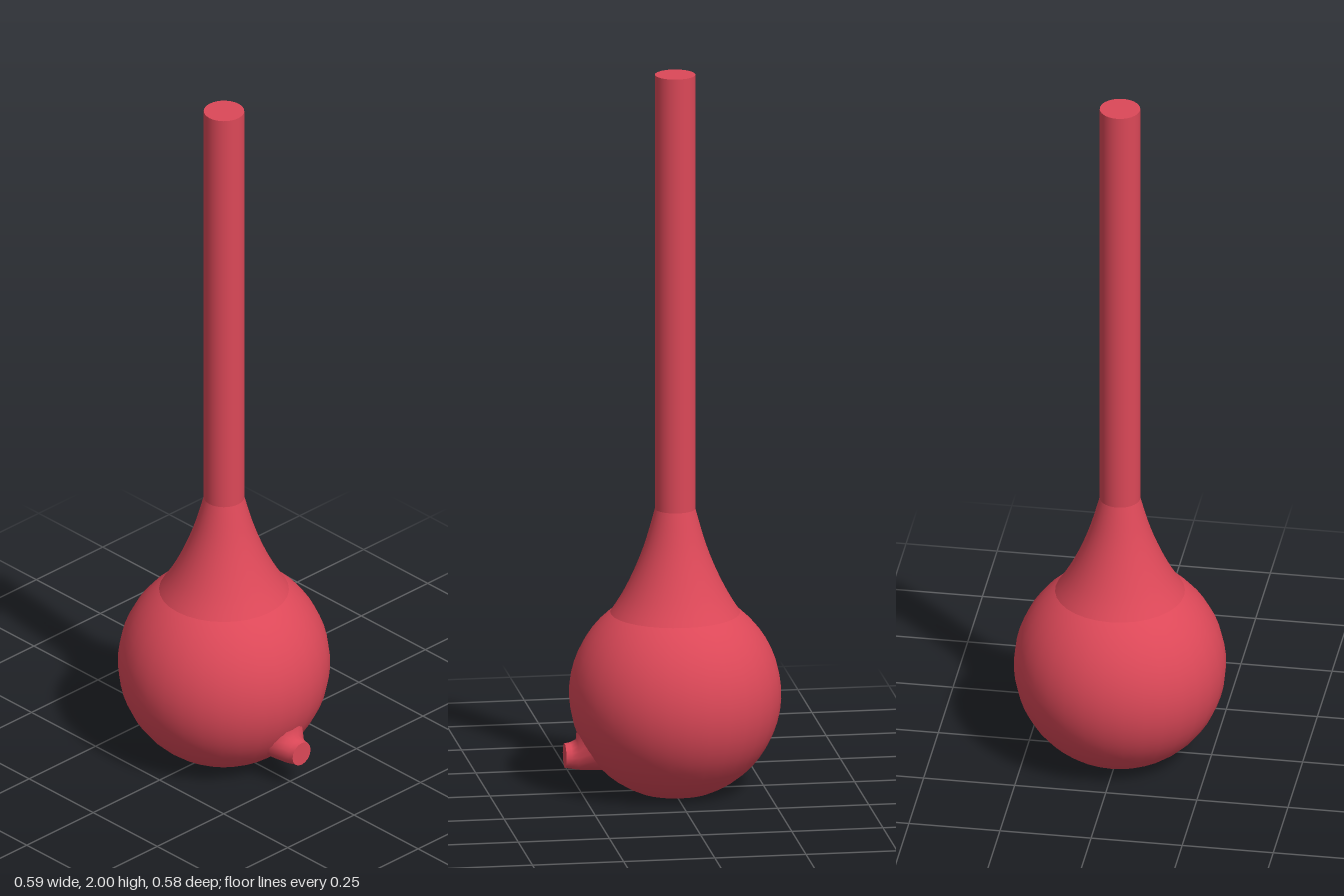
import * as THREE from 'three';

const CX = -0.008;      // axis of the vessel
const R = 0.288;        // bulb radius
const CY = 0.268;       // bulb centre height
const SEG = 32;

const material = new THREE.MeshStandardMaterial({ color: 0xdc4858, side: THREE.DoubleSide });

function addMesh(group, name, geometry, x = CX, y = 0) {
  const mesh = new THREE.Mesh(geometry, material);
  mesh.name = name;
  mesh.position.set(x, y, 0);
  group.add(mesh);
  return mesh;
}

const lathe = (pairs) =>
  new THREE.LatheGeometry(pairs.map(([r, y]) => new THREE.Vector2(r, y)), SEG);

// Loft between rings that run from the bulb surface to the spout mouth
function spoutGeometry() {
  const sides = 16;
  const rings = [
    { y: 0.122, r: 0.06 },               // base, wrapped on the bulb
    { y: 0.107, r: 0.042, x: 0.262 },
    { y: 0.105, r: 0.036, x: 0.28 },
    { y: 0.105, r: 0.034, x: 0.295 },    // mouth
  ];
  const positions = [], index = [];
  rings.forEach((ring, k) => {
    for (let i = 0; i < sides; i++) {
      const a = (i / sides) * Math.PI * 2;
      const y = ring.y + ring.r * Math.cos(a), z = ring.r * Math.sin(a);
      const x = ring.x ?? CX - 0.006 + Math.sqrt(R * R - (y - CY) ** 2 - z * z);
      positions.push(x, y, z);
      if (k === 0) continue;
      const j = (i + 1) % sides, p = (k - 1) * sides, q = k * sides;
      index.push(p + i, p + j, q + i, p + j, q + j, q + i);
    }
  });
  const geometry = new THREE.BufferGeometry();
  geometry.setAttribute('position', new THREE.Float32BufferAttribute(positions, 3));
  geometry.setIndex(index);
  geometry.computeVertexNormals();
  return geometry;
}

export function createModel() {
  const group = new THREE.Group();
  group.name = 'flask';

  // Round bulb, cut flat at the ground
  const cut = Math.acos(-CY / R);
  addMesh(group, 'bulb', new THREE.SphereGeometry(R, SEG, 24, 0, Math.PI * 2, 0, cut), CX, CY);
  const base = addMesh(group, 'base', new THREE.CircleGeometry(R * Math.sin(cut), SEG));
  base.rotation.x = Math.PI / 2;

  // Concave shoulder rising to the tube
  const curve = new THREE.SplineCurve([
    [0.185, 0.482], [0.148, 0.54], [0.113, 0.61], [0.082, 0.69], [0.055, 0.785],
  ].map(([r, y]) => new THREE.Vector2(r, y)));
  addMesh(group, 'shoulder', lathe(curve.getPoints(14).map((p) => [p.x, p.y])));

  // Long capped tube
  addMesh(group, 'neckTube', new THREE.CylinderGeometry(0.055, 0.055, 1.215, SEG), CX, 1.3925);

  // Side spout with a flared root and closed mouth
  addMesh(group, 'spout', spoutGeometry(), 0);
  const mouth = addMesh(group, 'spoutMouth', new THREE.CircleGeometry(0.034, 16), 0.295, 0.105);
  mouth.rotation.y = Math.PI / 2;

  return group;
}
